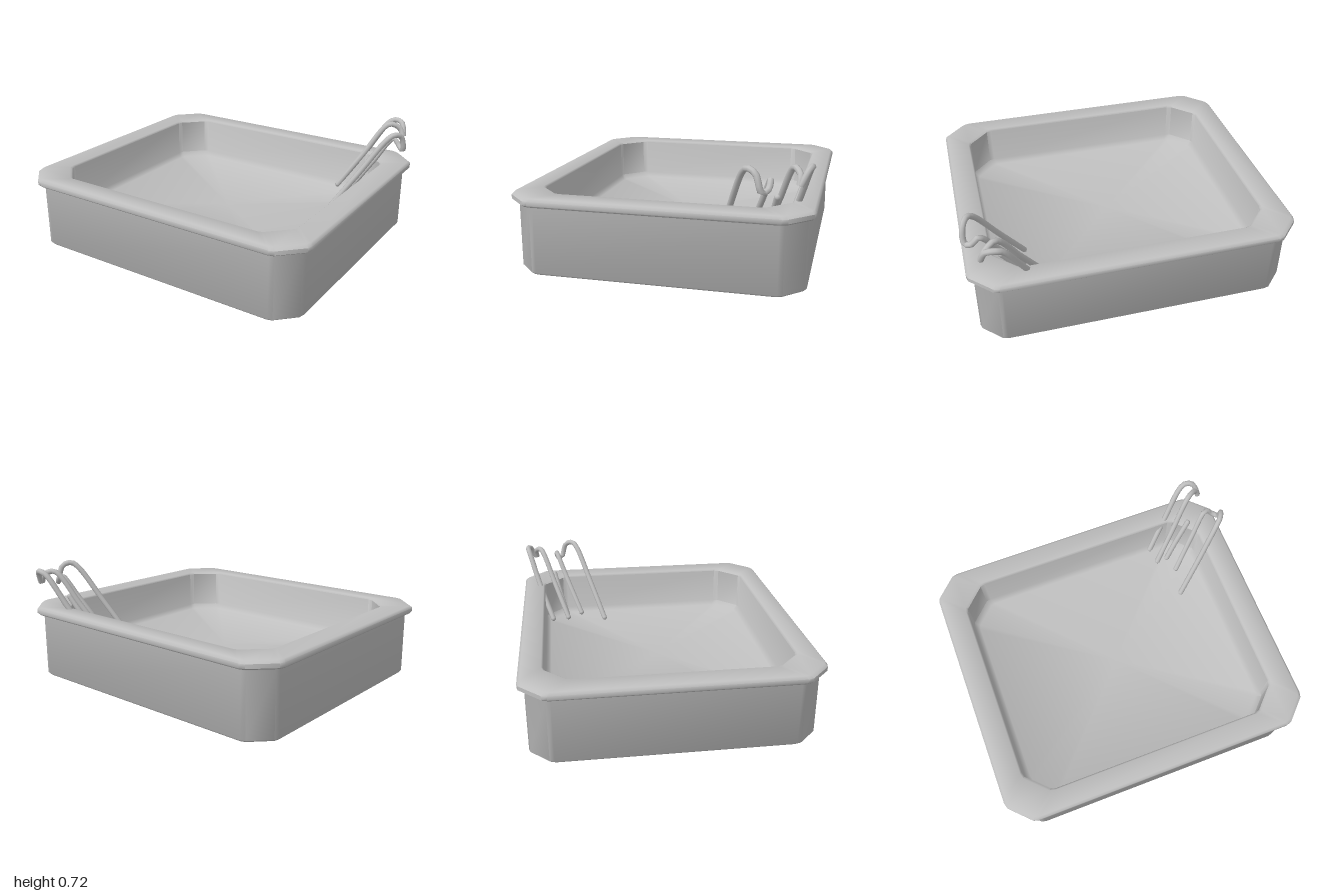
import * as THREE from 'three';
import { toCreasedNormals } from 'three/addons/utils/BufferGeometryUtils.js';

const grey = new THREE.MeshStandardMaterial({ color: 0xbfbfbf });
grey.name = 'plain grey';

// Rectangle outline with softly bevelled cut corners
function outline(hx, hz, c) {
  const corner = [[0, 1.12], [0.06, 0.9], [0.9, 0.06], [1.12, 0]];
  const points = [];
  for (const [sx, sz] of [[1, 1], [-1, 1], [-1, -1], [1, -1]]) {
    const list = sx * sz > 0 ? corner : [...corner].reverse();
    for (const [u, v] of list) points.push([sx * (hx - u * c), sz * (hz - v * c)]);
  }
  return points;
}

// Skin over stacked outlines, each given as [half x, half z, y, corner cut]
function loft(rings) {
  const positions = [], index = [], n = 16;
  for (const [hx, hz, y, c] of rings) {
    for (const [x, z] of outline(hx, hz, c)) positions.push(x, y, z);
  }
  for (let i = 0; i < rings.length - 1; i++) {
    for (let j = 0; j < n; j++) {
      const a = i * n + j, b = i * n + (j + 1) % n;
      index.push(a, a + n, b, b, a + n, b + n);
    }
  }
  const geometry = new THREE.BufferGeometry();
  geometry.setAttribute('position', new THREE.Float32BufferAttribute(positions, 3));
  geometry.setIndex(index);
  return toCreasedNormals(geometry, 0.9);
}

// Bent round bar with closed ends
function bar(name, points) {
  const group = new THREE.Group();
  group.name = name;
  const path = points.map((p) => new THREE.Vector3(...p));
  const curve = new THREE.CatmullRomCurve3(path, false, 'centripetal');
  group.add(new THREE.Mesh(new THREE.TubeGeometry(curve, 48, 0.018, 8), grey));
  for (const end of [path[0], path[path.length - 1]]) {
    const cap = new THREE.Mesh(new THREE.SphereGeometry(0.018, 8, 6), grey);
    cap.position.copy(end);
    group.add(cap);
  }
  group.children.forEach((mesh) => { mesh.name = name; });
  return group;
}

export function createModel() {
  const model = new THREE.Group();
  model.name = 'pool';

  // Basin: underside, outer wall, overhanging rim, inner wall and floor
  const basin = new THREE.Mesh(loft([
    [0, 0, 0, 0],
    [0.95, 0.835, 0, 0.13],
    [0.96, 0.845, 0.012, 0.13],
    [0.96, 0.845, 0.4, 0.13],
    [0.965, 0.85, 0.415, 0.13],
    [0.99, 0.873, 0.415, 0.15],
    [1, 0.883, 0.425, 0.15],
    [1, 0.883, 0.45, 0.15],
    [0.985, 0.868, 0.465, 0.15],
    [0.85, 0.75, 0.465, 0.15],
    [0.84, 0.74, 0.455, 0.15],
    [0.84, 0.74, 0.21, 0.15],
    [0.81, 0.71, 0.18, 0.14],
    [0, 0, 0.18, 0],
  ]), grey);
  basin.name = 'basin';
  model.add(basin);

  // Ladder handrails, slanting out of the water and hooking over the rim
  const ladder = new THREE.Group();
  ladder.name = 'ladder';
  ladder.add(bar('frontHandrail', [
    [0.62, 0.2, -0.31], [0.77, 0.44, -0.4], [0.91, 0.67, -0.49], [0.945, 0.7, -0.52],
    [0.975, 0.68, -0.57], [0.98, 0.58, -0.605], [0.945, 0.59, -0.635],
    [0.9, 0.635, -0.64], [0.79, 0.47, -0.575], [0.65, 0.24, -0.48],
  ]));
  ladder.add(bar('backHandrail', [
    [0.53, 0.25, -0.69], [0.66, 0.46, -0.77], [0.79, 0.68, -0.84], [0.83, 0.7, -0.85],
    [0.88, 0.69, -0.835], [0.91, 0.6, -0.79], [0.885, 0.66, -0.795],
    [0.82, 0.69, -0.755], [0.68, 0.47, -0.665], [0.545, 0.25, -0.58],
  ]));
  // Short middle bar between the handrails
  ladder.add(bar('middleBar', [[0.62, 0.24, -0.585], [0.7, 0.37, -0.625], [0.79, 0.51, -0.665]]));
  model.add(ladder);

  return model;
}
